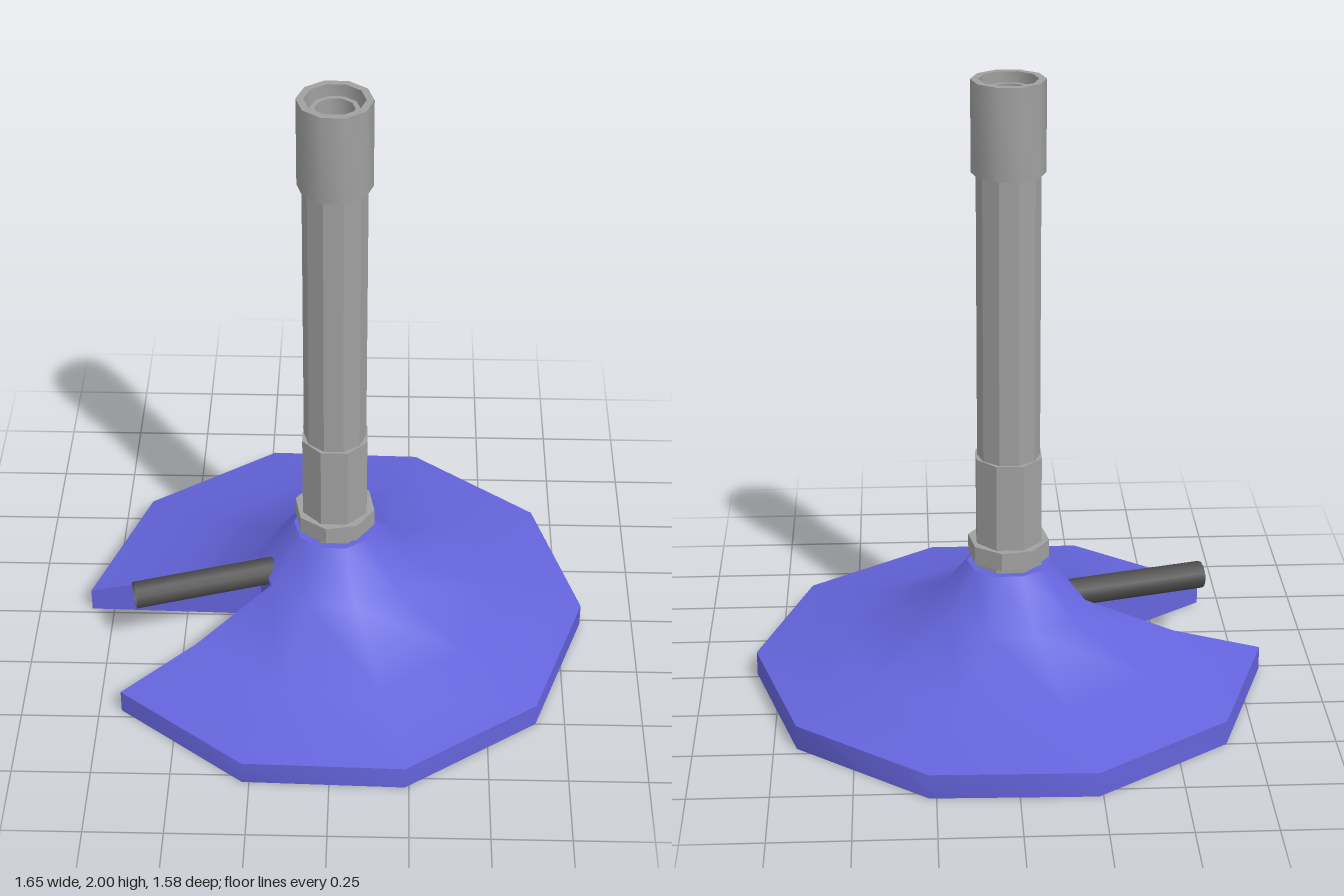
import * as THREE from 'three';
import { toCreasedNormals } from 'three/addons/utils/BufferGeometryUtils.js';

const DEG = Math.PI / 180;
const SMOOTH = 0.8, FLAT = 0.1;

export function createModel() {
  const model = new THREE.Group();
  const mat = (name, color) => {
    const m = new THREE.MeshStandardMaterial({ color, side: THREE.DoubleSide });
    m.name = name;
    return m;
  };
  const blue = mat('blue enamel', 0x6464dc);
  const grey = mat('grey metal', 0xa0a0a0);
  const black = mat('dark rubber', 0x4b4b4b);

  const add = (name, geometry, material) => {
    const mesh = new THREE.Mesh(geometry, material);
    mesh.name = name;
    model.add(mesh);
    return mesh;
  };
  const lathe = (points, sides, start, length = 360) => new THREE.LatheGeometry(
    points.map(([r, y]) => new THREE.Vector2(r, y)), sides, start * DEG, length * DEG);

  // Ten-sided base; its last segment is cut away outside the hub
  const start = -55.3, hub = 0.25;
  const profile = [[0, 0], [hub, 0], [0.825, 0], [0.825, 0.08], [0.54, 0.145], [hub, 0.26], [0.135, 0.41], [0, 0.41]];
  const base = lathe(profile, 10, start);
  const strips = profile.length - 1;
  base.setIndex(Array.from(base.index.array).filter((_, k) => {
    const quad = Math.floor(k / 6), strip = quad % strips;
    return !(quad >= 9 * strips && strip >= 1 && strip <= 4);
  }));
  add('base', toCreasedNormals(base, SMOOTH), blue);

  // Walls of the notch
  const section = new THREE.Shape(profile.slice(1, 6).map(([r, y]) => new THREE.Vector2(r, y)));
  for (const phi of [start, start - 36]) {
    add('notchSide', new THREE.ShapeGeometry(section), blue).rotation.y = (phi - 90) * DEG;
  }
  add('notchBack', lathe([[hub, 0], [hub, 0.26]], 1, start - 36, 36), blue);

  // Upright pipe with sleeve, collar and hollow mouth
  const turned = (name, points, sides, phi, crease) =>
    add(name, toCreasedNormals(lathe(points, sides, phi), crease), grey);
  turned('stem', [[0.1, 0.41], [0.1, 1.75]], 10, 88.7, FLAT);
  turned('sleeve', [[0.112, 0.4], [0.112, 0.78], [0.09, 0.78]], 8, 22.5, FLAT);
  turned('collar', [[0.09, 0.43], [0.132, 0.43], [0.132, 0.49], [0.09, 0.49]], 8, 78.3, FLAT);
  turned('mouth', [
    [0.09, 1.71], [0.115, 1.71], [0.115, 2], [0.092, 2], [0.092, 1.92],
    [0.075, 1.92], [0.075, 1.97], [0.06, 1.97], [0.06, 1.88], [0, 1.88],
  ], 10, 88.7, SMOOTH);

  // Hose inlet, open at its outer end
  const path = new THREE.LineCurve3(new THREE.Vector3(-0.17, 0.255, 0.05), new THREE.Vector3(-0.65, 0.248, 0.19));
  add('hose', new THREE.TubeGeometry(path, 1, 0.045, 12), black);

  return model;
}
